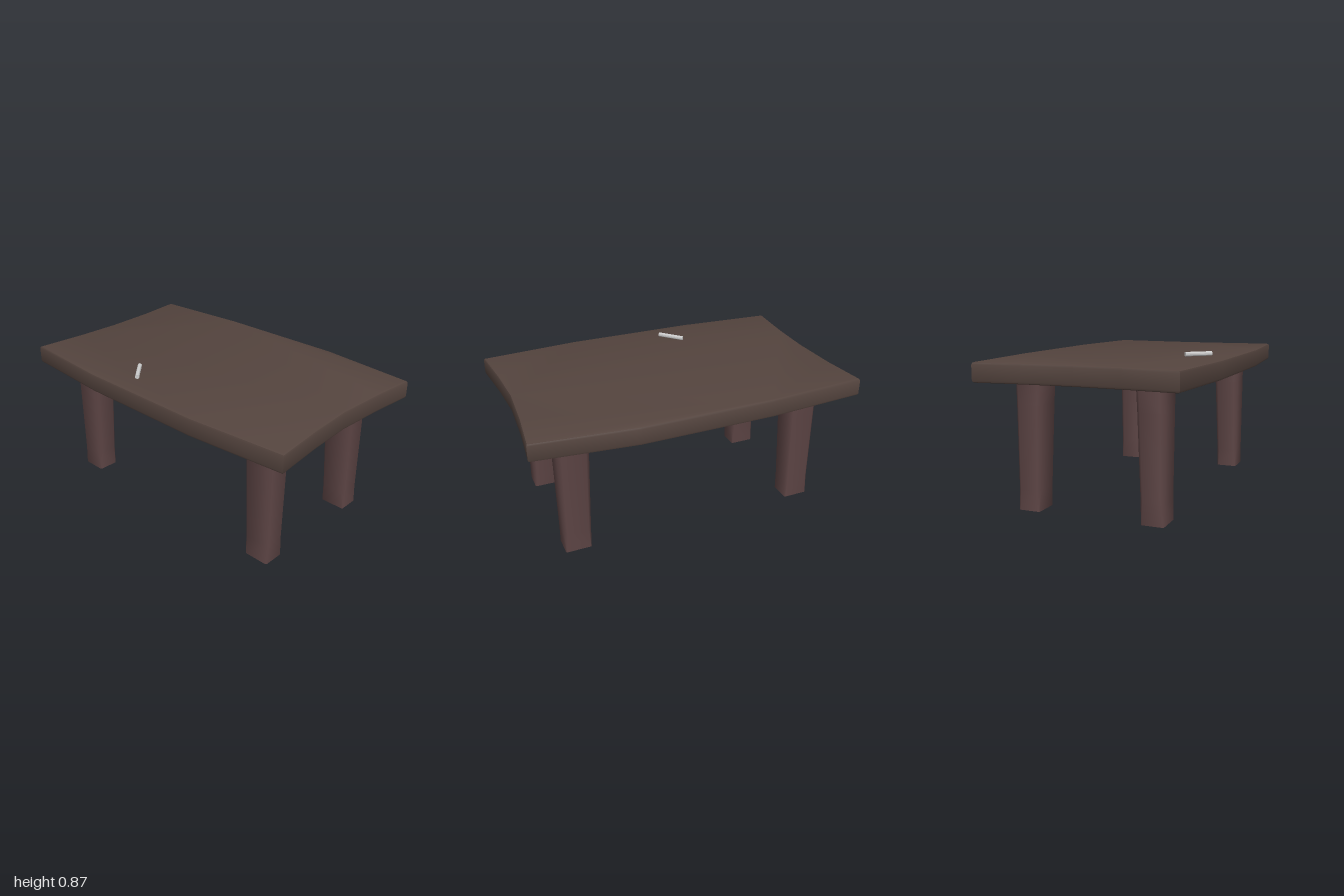
import * as THREE from 'three';
import { toCreasedNormals } from 'three/addons/utils/BufferGeometryUtils.js';

const material = (color) => new THREE.MeshStandardMaterial({ color });

// Slab with a wavy outline (x, z) and a small bevel all round
function makeTop() {
  const outline = [
    [-1, -0.58], [-0.4, -0.625], [0.4, -0.63], [0.99, -0.57], [0.965, -0.3], [0.95, 0],
    [0.965, 0.27], [0.995, 0.575], [0.4, 0.622], [-0.4, 0.622], [-0.99, 0.58], [-0.965, 0.27],
    [-0.957, 0], [-0.97, -0.3],
  ].map(([x, z]) => new THREE.Vector2(x, z));
  const bevel = 0.014, top = 0.846, bottom = 0.735;
  const geometry = new THREE.ExtrudeGeometry(new THREE.Shape(outline), {
    depth: top - bottom - 2 * bevel,
    bevelThickness: bevel, bevelSize: bevel, bevelOffset: -bevel, bevelSegments: 2,
  });
  geometry.rotateX(Math.PI / 2).translate(0, top - bevel, 0);
  return toCreasedNormals(geometry, 0.6);
}

// Tapered leg lofted through chamfered rectangles; sx, sz choose the corner
function makeLeg(sx, sz) {
  // y, inner x, outer x, inner z, outer z, chamfer
  const sections = [
    [0, 0.65, 0.805, 0.304, 0.434, 0.006],
    [0.12, 0.645, 0.806, 0.299, 0.435, 0.016],
    [0.6, 0.629, 0.811, 0.28, 0.438, 0.022],
    [0.75, 0.624, 0.813, 0.273, 0.439, 0.022],
  ];
  const positions = [], indices = [], n = 8;
  for (const [y, x0, x1, z0, z1, c] of sections) {
    const ring = [
      [x0 + c, z0], [x0, z0 + c], [x0, z1 - c], [x0 + c, z1],
      [x1 - c, z1], [x1, z1 - c], [x1, z0 + c], [x1 - c, z0],
    ];
    for (const [x, z] of ring) positions.push(x * sx, y, z * sz);
  }
  // Mirroring on one axis flips the winding
  const face = (a, b, c) => (sx * sz > 0 ? indices.push(a, b, c) : indices.push(a, c, b));
  for (let s = 0; s < sections.length - 1; s++) {
    for (let i = 0; i < n; i++) {
      const a = s * n + i, b = s * n + (i + 1) % n;
      face(a, b, b + n);
      face(a, b + n, a + n);
    }
  }
  const last = (sections.length - 1) * n;
  for (let i = 1; i < n - 1; i++) {
    face(0, i + 1, i);
    face(last, last + i, last + i + 1);
  }
  const geometry = new THREE.BufferGeometry();
  geometry.setAttribute('position', new THREE.Float32BufferAttribute(positions, 3));
  geometry.setIndex(indices);
  return toCreasedNormals(geometry, 0.9);
}

export function createModel() {
  const model = new THREE.Group();
  const add = (name, geometry, mat) => {
    const mesh = new THREE.Mesh(geometry, mat);
    mesh.name = name;
    model.add(mesh);
    return mesh;
  };

  add('tableTop', makeTop(), material(0x54443e));

  const legMaterial = material(0x5c4444);
  for (const sx of [1, -1]) {
    for (const sz of [1, -1]) {
      const name = (sz > 0 ? 'front' : 'back') + (sx > 0 ? 'Left' : 'Right') + 'Leg';
      add(name, makeLeg(sx, sz), legMaterial);
    }
  }

  // Thin rod lying diagonally on the table
  const rodGeometry = toCreasedNormals(new THREE.CylinderGeometry(0.013, 0.013, 0.168, 12), 0.8);
  rodGeometry.rotateX(Math.PI / 2);
  const rod = add('rod', rodGeometry, material(0xcccccc));
  rod.position.set(-0.213, 0.86, 0.424);
  rod.rotation.y = Math.atan2(0.115, 0.122);

  return model;
}
